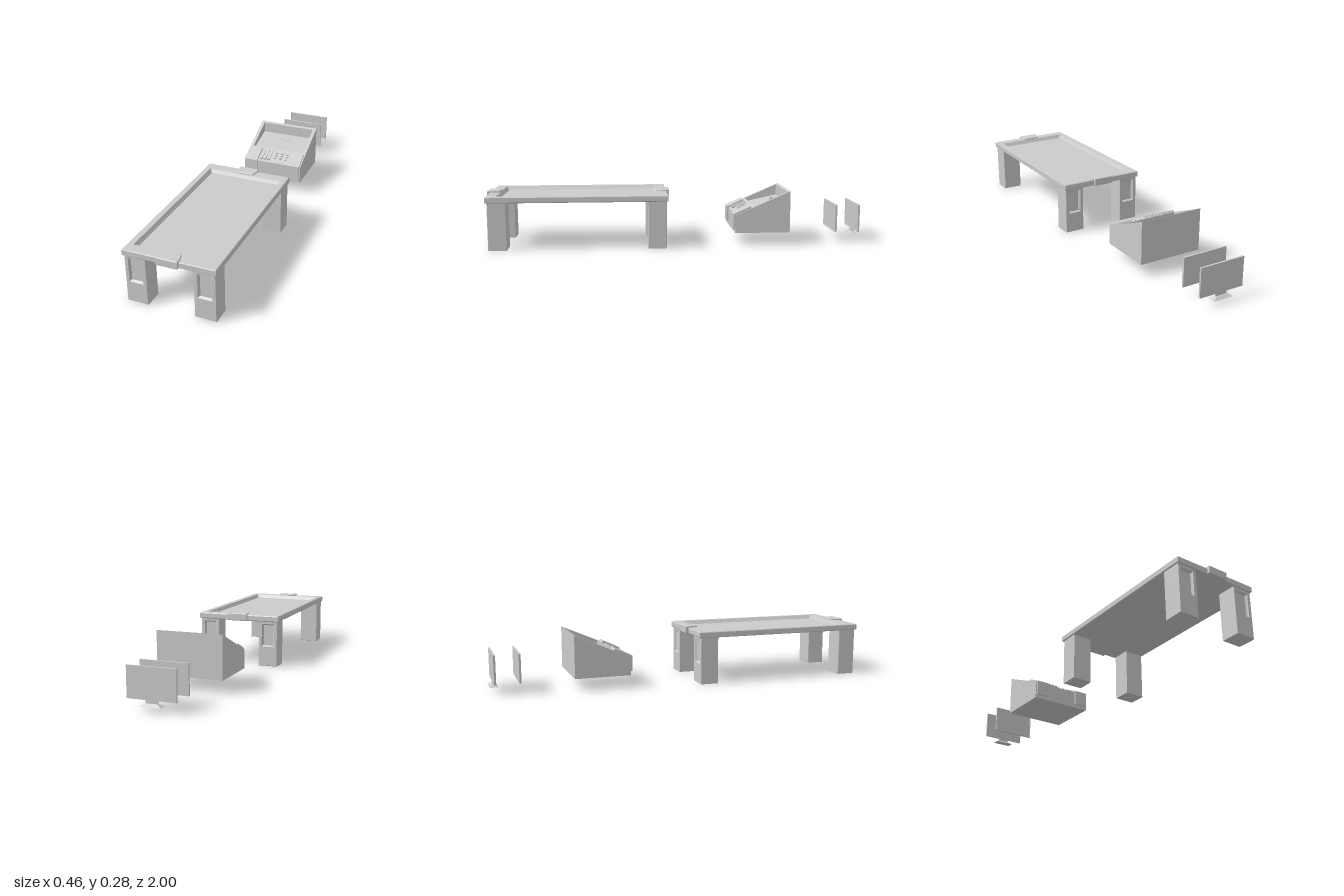
import * as THREE from 'three';

const mat = new THREE.MeshStandardMaterial({ color: 0xcccccc, flatShading: true, side: THREE.DoubleSide });

function add(parent, name, geometry, x = 0, y = 0, z = 0) {
  const mesh = new THREE.Mesh(geometry, mat);
  mesh.name = name;
  mesh.position.set(x, y, z);
  parent.add(mesh);
  return mesh;
}

// Rectangular rings [halfWidth, y0, y1, z] joined from back to front, capped at both ends
function loft(rings) {
  const pos = [], idx = [];
  for (const [w, y0, y1, z] of rings) pos.push(-w, y0, z, w, y0, z, w, y1, z, -w, y1, z);
  for (let r = 0; r < rings.length - 1; r++) {
    for (let i = 0; i < 4; i++) {
      const a = r * 4 + i, b = r * 4 + (i + 1) % 4;
      idx.push(a, b, b + 4, a, b + 4, a + 4);
    }
  }
  const t = (rings.length - 1) * 4;
  idx.push(0, 2, 1, 0, 3, 2, t, t + 1, t + 2, t, t + 2, t + 3);
  const g = new THREE.BufferGeometry();
  g.setAttribute('position', new THREE.Float32BufferAttribute(pos, 3));
  g.setIndex(idx);
  const flat = g.toNonIndexed();
  flat.computeVertexNormals();
  return flat;
}

// Side profile of [z, y] points extruded from x0 to x1
function profileX(points, x0, x1) {
  const shape = new THREE.Shape(points.map(p => new THREE.Vector2(...p)));
  const g = new THREE.ExtrudeGeometry(shape, { depth: x1 - x0, bevelEnabled: false });
  return g.rotateY(-Math.PI / 2).translate(x1, 0, 0);
}

function createTable() {
  const table = new THREE.Group();
  table.name = 'table';
  table.position.z = 0.52;

  // Bevelled top with a sunken, sloping-sided tray
  const ring = (w, d, y) => [w, -d, d, y];
  add(table, 'tabletop', loft([
    ring(0.224, 0.461, 0.245), ring(0.228, 0.465, 0.249), ring(0.228, 0.465, 0.273),
    ring(0.225, 0.462, 0.277), ring(0.197, 0.41, 0.277), ring(0.193, 0.406, 0.27),
    ring(0.185, 0.398, 0.258),
  ]).rotateX(-Math.PI / 2));

  for (const end of [1, -1]) {
    const half = new THREE.Group();
    half.name = end > 0 ? 'frontEnd' : 'backEnd';
    half.rotation.y = end > 0 ? 0 : Math.PI;
    table.add(half);

    // Raised clip wrapped over the rim, tapering inwards
    const outline = [[-0.05, -0.476], [0.05, -0.476], [0.05, -0.45], [0.04, -0.415], [-0.04, -0.415], [-0.05, -0.45]];
    const shape = new THREE.Shape(outline.map(p => new THREE.Vector2(...p)));
    const clip = new THREE.ExtrudeGeometry(shape, {
      depth: 0.034, bevelThickness: 0.003, bevelSize: 0.003, bevelSegments: 1,
    });
    add(half, 'rimClip', clip.rotateX(-Math.PI / 2), 0, 0.248, 0);

    // Legs with a framed recess in the outer end face
    for (const side of [1, -1]) {
      add(half, 'leg', loft([
        [0.051, 0.002, 0.245, 0], [0.053, 0, 0.246, 0.003], [0.053, 0, 0.246, 0.093],
        [0.051, 0.003, 0.245, 0.096], [0.035, 0.107, 0.232, 0.096],
        [0.031, 0.111, 0.228, 0.09], [0.027, 0.114, 0.225, 0.085],
      ]), side * 0.169, 0, 0.36);
    }
  }
  return table;
}

function createConsole() {
  const group = new THREE.Group();
  group.name = 'console';
  const tilt = 0.408;

  // Wedge body with a recessed display bay between two side walls
  add(group, 'body', profileX([
    [-0.3, 0.065], [-0.3, 0.16], [-0.4, 0.203], [-0.4, 0.183], [-0.577, 0.222],
    [-0.577, 0.279], [-0.59, 0.285], [-0.59, 0.065],
  ], -0.152, 0.152));
  for (const side of [1, -1]) {
    add(group, 'sideWall', profileX([
      [-0.3, 0.065], [-0.3, 0.16], [-0.59, 0.285], [-0.59, 0.065],
    ], -0.009, 0.009), side * 0.161);
    // Corner pads folded over the front edge
    add(group, 'cornerPad', profileX([
      [-0.29, 0.085], [-0.29, 0.165], [-0.38, 0.206], [-0.39, 0.192], [-0.31, 0.155], [-0.31, 0.085],
    ], -0.037, 0.037), side * 0.127);
  }

  // Sliders and buttons lying on the slope
  const controls = new THREE.Group();
  controls.name = 'controls';
  controls.position.set(0, 0.16, -0.3);
  controls.rotation.x = tilt;
  group.add(controls);
  for (const x of [-0.072, -0.051, -0.03]) {
    add(controls, 'sliderTrack', new THREE.BoxGeometry(0.012, 0.006, 0.078), x, 0.001, -0.053);
    add(controls, 'sliderKnob', new THREE.BoxGeometry(0.012, 0.008, 0.014), x, 0.005, -0.022);
  }
  for (const x of [0.003, 0.035, 0.067]) {
    for (const z of [-0.04, -0.058, -0.076]) {
      add(controls, 'button', new THREE.CylinderGeometry(0.007, 0.009, 0.007, 12), x, 0.002, z);
    }
  }

  // Upright triangular frame in the display bay
  const tri = (w, top, bottom) => [[-w, top], [0, bottom], [w, top]].map(p => new THREE.Vector2(...p));
  const frame = new THREE.Shape(tri(0.035, 0.033, 0));
  frame.holes.push(new THREE.Path(tri(0.021, 0.027, 0.008).reverse()));
  const emblem = add(group, 'triangleFrame',
    new THREE.ExtrudeGeometry(frame, { depth: 0.005, bevelEnabled: false }), 0, 0.202, -0.507);
  emblem.rotation.x = -0.45;
  return group;
}

function createScreen(name, z) {
  const screen = new THREE.Group();
  screen.name = name;
  screen.position.z = z;
  // Thin slab with a shallow bezel on the front
  add(screen, 'panel', loft([
    [0.12, 0.052, 0.2, -0.005], [0.12, 0.052, 0.2, 0.005],
    [0.116, 0.056, 0.196, 0.005], [0.115, 0.057, 0.195, 0.003],
  ]));
  return screen;
}

export function createModel() {
  const model = new THREE.Group();
  model.name = 'tableConsoleAndScreens';
  model.add(createTable(), createConsole(), createScreen('frontScreen', -0.853));

  // Rear screen with neck and flared foot
  const rear = createScreen('standingScreen', -0.976);
  add(rear, 'neck', new THREE.BoxGeometry(0.06, 0.018, 0.006), 0, 0.045, 0);
  add(rear, 'foot', loft([
    [0.052, -0.022, 0.022, 0.025], [0.03, -0.006, 0.006, 0.038],
  ]).rotateX(-Math.PI / 2));
  model.add(rear);
  return model;
}
